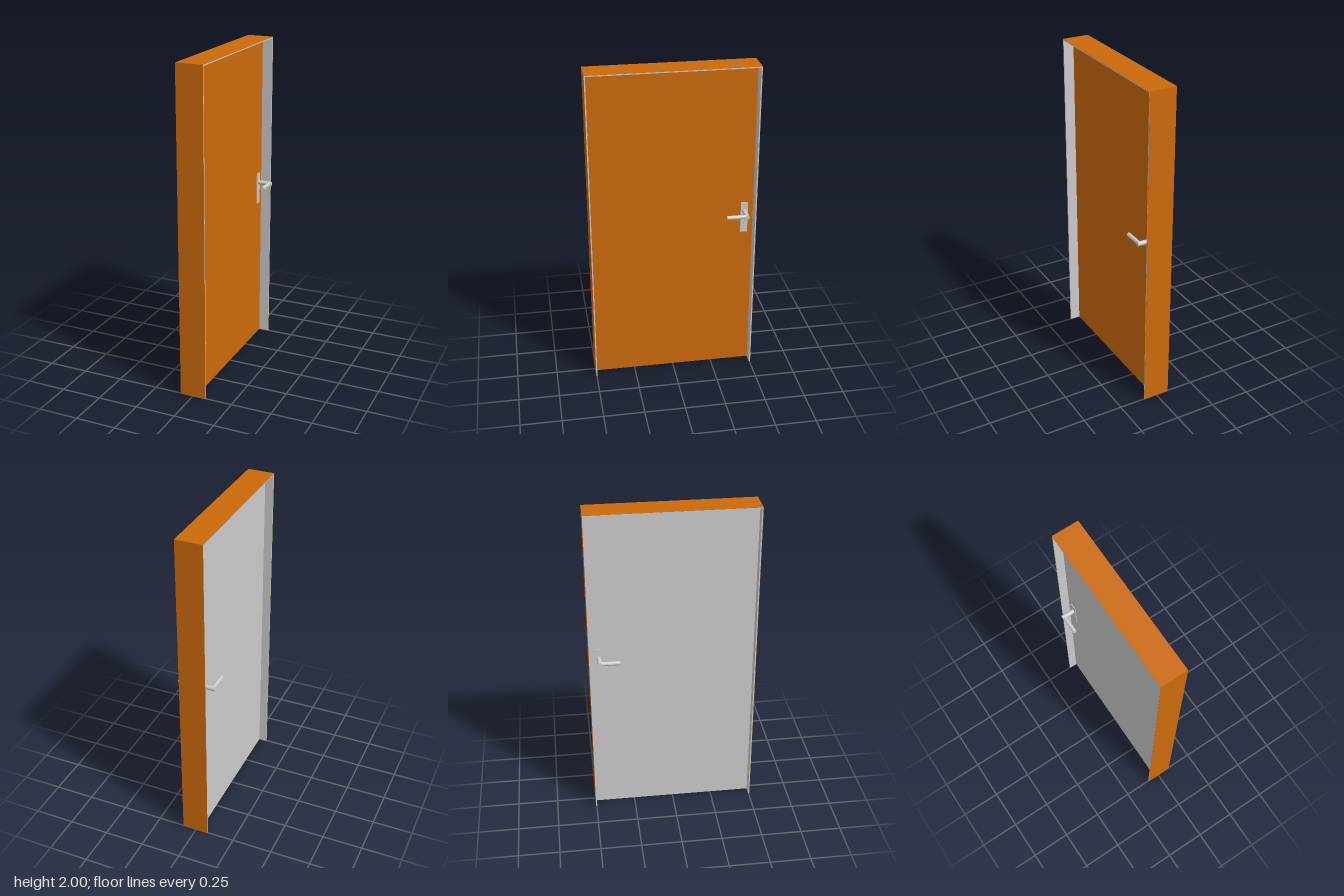
import * as THREE from 'three';

const GREY = new THREE.MeshStandardMaterial({ color: 0xcccccc });
const ORANGE = new THREE.MeshStandardMaterial({ color: 0xcc6a0c });

// Box given by its minimum and maximum corners
function box(name, min, max, material) {
  const size = max.map((v, i) => v - min[i]);
  const mesh = new THREE.Mesh(new THREE.BoxGeometry(...size), material);
  mesh.position.set(...max.map((v, i) => (v + min[i]) / 2));
  mesh.name = name;
  return mesh;
}

// Cylinder running between two points
function rod(name, a, b, radius) {
  const from = new THREE.Vector3(...a), to = new THREE.Vector3(...b);
  const dir = to.clone().sub(from);
  const mesh = new THREE.Mesh(new THREE.CylinderGeometry(radius, radius, dir.length(), 24), GREY);
  mesh.position.copy(from).add(to).multiplyScalar(0.5);
  mesh.quaternion.setFromUnitVectors(new THREE.Vector3(0, 1, 0), dir.normalize());
  mesh.name = name;
  return mesh;
}

export function createModel() {
  const model = new THREE.Group();
  model.name = 'door';

  const X0 = -0.08, X1 = 0.085;         // frame depth
  const H = 2, W = 0.505;               // height and half width
  const T = 0.008, SKIN = 0.001;        // frame thickness, coloured outer skin
  const D0 = -0.028, D1 = 0.02;         // door leaf faces

  // Frame: grey lining with a coloured outside
  const frame = new THREE.Group();
  frame.name = 'frame';
  for (const s of [1, -1]) {
    const zs = (a, b) => [Math.min(s * a, s * b), Math.max(s * a, s * b)];
    const [i0, i1] = zs(W - T, W - SKIN), [o0, o1] = zs(W - SKIN, W);
    const side = s > 0 ? 'front' : 'back';
    frame.add(box(side + 'JambLining', [X0, 0, i0], [X1, H - SKIN, i1], GREY));
    frame.add(box(side + 'JambOutside', [X0, 0, o0], [X1, H, o1], ORANGE));
  }
  frame.add(box('headLining', [X0, H - T, -W + T], [X1, H - SKIN, W - T], GREY));
  frame.add(box('headOutside', [X0, H - SKIN, -W + SKIN], [X1, H, W - SKIN], ORANGE));
  model.add(frame);

  // Door leaf: coloured on one face, grey on the other
  const z = W - T, top = H - T;
  model.add(box('doorLeaf', [D0 + 0.002, 0, -z], [D1, top, z], ORANGE));
  model.add(box('doorBackFace', [D0, 0, -z], [D0 + 0.002, top, z], GREY));

  // Handle set on each face: plate, keyhole ring, shank and lever
  for (const s of [1, -1]) {
    const handle = new THREE.Group();
    handle.name = s > 0 ? 'leftHandle' : 'rightHandle';
    const face = s > 0 ? D1 : D0;
    const y = 1.07, hz = -0.443, lx = s * 0.1;

    const plate = new THREE.Shape();
    plate.moveTo(-0.022, 0.93).lineTo(0.022, 0.93).lineTo(0.022, 1.13).lineTo(-0.022, 1.13).closePath();
    const hole = new THREE.Path();
    hole.absarc(0, 1, 0.008, 0, Math.PI * 2, true);
    plate.holes.push(hole);
    const plateMesh = new THREE.Mesh(
      new THREE.ExtrudeGeometry(plate, { depth: 0.004, bevelEnabled: false, curveSegments: 10 }), GREY);
    plateMesh.rotation.y = s * Math.PI / 2;
    plateMesh.position.set(face, 0, hz);
    plateMesh.name = 'plate';
    handle.add(plateMesh);

    handle.add(rod('lockBarrel', [face, 1, hz], [face + s * 0.003, 1, hz], 0.0065));
    handle.add(rod('shank', [face, y, hz], [s * 0.113, y, hz], 0.0135));
    handle.add(rod('lever', [lx, y, hz - 0.003], [lx, y, -0.32], 0.0125));
    model.add(handle);
  }
  return model;
}
